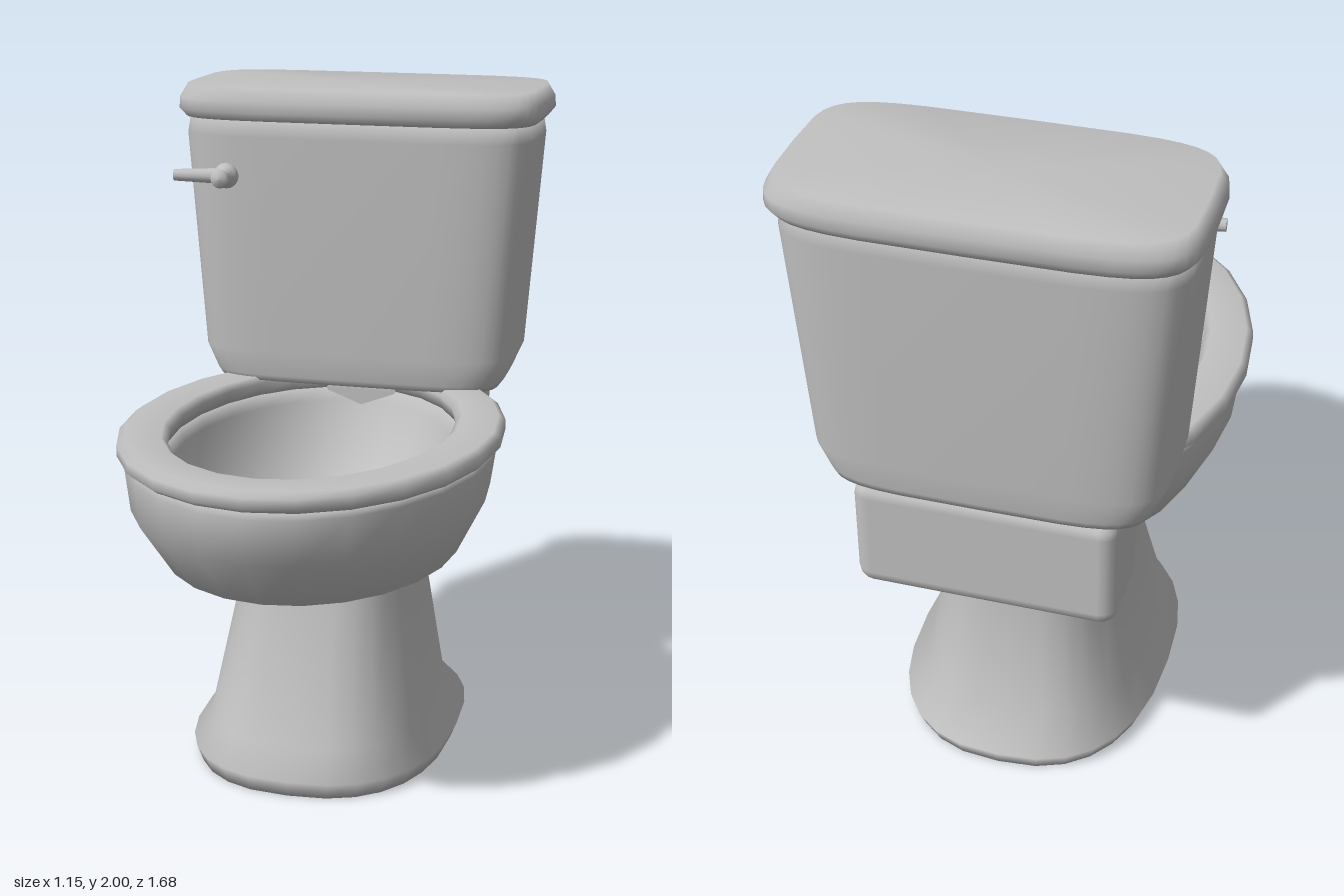
import * as THREE from 'three';
import { RoundedBoxGeometry } from 'three/addons/geometries/RoundedBoxGeometry.js';

const ceramic = new THREE.MeshStandardMaterial({ color: 0xc0c0c0 });
ceramic.name = 'grey ceramic';

// Smooth loft through superellipse rings: [y, half width, front z, back z, roundness]
function loft(rings, sides, closed = false) {
  const pos = [], index = [];
  const soft = (v, n) => Math.sign(v) * Math.abs(v) ** (2 / n);
  for (const [y, w, front, back, n = 2] of rings) {
    const cz = (front + back) / 2, d = (front - back) / 2;
    for (let j = 0; j < sides; j++) {
      const a = (j / sides) * Math.PI * 2;
      pos.push(w * soft(Math.cos(a), n), y, cz + d * soft(Math.sin(a), n));
    }
  }
  const count = rings.length;
  for (let i = 0; i < (closed ? count : count - 1); i++) {
    for (let j = 0; j < sides; j++) {
      const k = (j + 1) % sides, up = ((i + 1) % count) * sides;
      const a = i * sides + j, b = i * sides + k, c = up + j, d = up + k;
      index.push(a, c, b, b, c, d);
    }
  }
  if (!closed) {
    const cap = (ring, flip) => {
      const [y, , front, back] = rings[ring];
      const centre = pos.length / 3;
      pos.push(0, y, (front + back) / 2);
      for (let j = 0; j < sides; j++) {
        const a = ring * sides + j, b = ring * sides + (j + 1) % sides;
        index.push(centre, flip ? b : a, flip ? a : b);
      }
    };
    cap(0, false);
    cap(count - 1, true);
  }
  const g = new THREE.BufferGeometry();
  g.setAttribute('position', new THREE.Float32BufferAttribute(pos, 3));
  g.setIndex(index);
  g.computeVertexNormals();
  return g;
}

export function createModel() {
  const model = new THREE.Group();
  model.name = 'toilet';
  const add = (name, geometry, parent = model) => {
    const mesh = new THREE.Mesh(geometry, ceramic);
    mesh.name = name;
    parent.add(mesh);
    return mesh;
  };

  // Flared foot with a waisted column
  add('pedestal', loft([
    [0, 0.385, 0.41, -0.65, 2.5],
    [0.05, 0.405, 0.425, -0.67, 2.5],
    [0.14, 0.34, 0.37, -0.555, 2.7],
    [0.56, 0.265, 0.2, -0.49, 2.7],
    [0.64, 0.305, 0.26, -0.53, 2.7],
  ], 28));

  // Outer shell, over the rim, then down the inside to the drain
  add('bowl', loft([
    [0.61, 0.27, 0.37, -0.25],
    [0.70, 0.435, 0.66, -0.47],
    [0.87, 0.52, 0.81, -0.59],
    [1.0, 0.538, 0.825, -0.62],
    [1.02, 0.525, 0.81, -0.61],
    [1.02, 0.42, 0.70, -0.50],
    [0.98, 0.405, 0.69, -0.48],
    [0.86, 0.37, 0.62, -0.42],
    [0.75, 0.28, 0.43, -0.32],
    [0.67, 0.13, 0.12, -0.21],
    [0.65, 0.1, 0.05, -0.18],
    [0.58, 0.09, 0.04, -0.17],
  ], 24));

  // Oval seat ring
  add('seat', loft([
    [1.02, 0.42, 0.70, -0.50],
    [1.02, 0.545, 0.82, -0.62],
    [1.035, 0.56, 0.84, -0.635],
    [1.065, 0.56, 0.84, -0.635],
    [1.08, 0.54, 0.82, -0.615],
    [1.08, 0.43, 0.71, -0.51],
    [1.06, 0.41, 0.69, -0.49],
  ], 24, true));

  // Block joining bowl and tank
  add('tankSupport', new RoundedBoxGeometry(0.76, 0.36, 0.28, 2, 0.05))
    .position.set(0, 0.89, -0.615);

  // Tapered tank
  add('tank', loft([
    [1.07, 0.455, -0.32, -0.77, 5],
    [1.09, 0.465, -0.31, -0.775, 5],
    [1.17, 0.5, -0.3, -0.785, 5],
    [1.85, 0.55, -0.275, -0.81, 5],
    [1.91, 0.54, -0.28, -0.805, 5],
  ], 36));

  add('tankLid', loft([
    [1.9, 0.555, -0.275, -0.825, 5],
    [1.925, 0.575, -0.258, -0.84, 5],
    [1.96, 0.573, -0.26, -0.84, 5],
    [2.0, 0.55, -0.275, -0.825, 5],
  ], 36));

  // Flush handle: waisted knob and side lever
  const handle = new THREE.Group();
  handle.name = 'flushHandle';
  handle.position.set(-0.375, 1.735, -0.262);
  model.add(handle);
  const knob = [[0, 0], [0.032, 0], [0.04, 0.015], [0.034, 0.03], [0.016, 0.048],
    [0.026, 0.066], [0.03, 0.08], [0.024, 0.095], [0, 0.1]];
  add('knob', new THREE.LatheGeometry(knob.map(([r, y]) => new THREE.Vector2(r, y)), 16), handle)
    .rotation.x = Math.PI / 2;
  const lever = add('lever', new THREE.CylinderGeometry(0.018, 0.025, 0.16, 12), handle);
  lever.position.set(-0.08, 0, 0.033);
  lever.rotation.set(0, 0.1, Math.PI / 2);

  return model;
}
